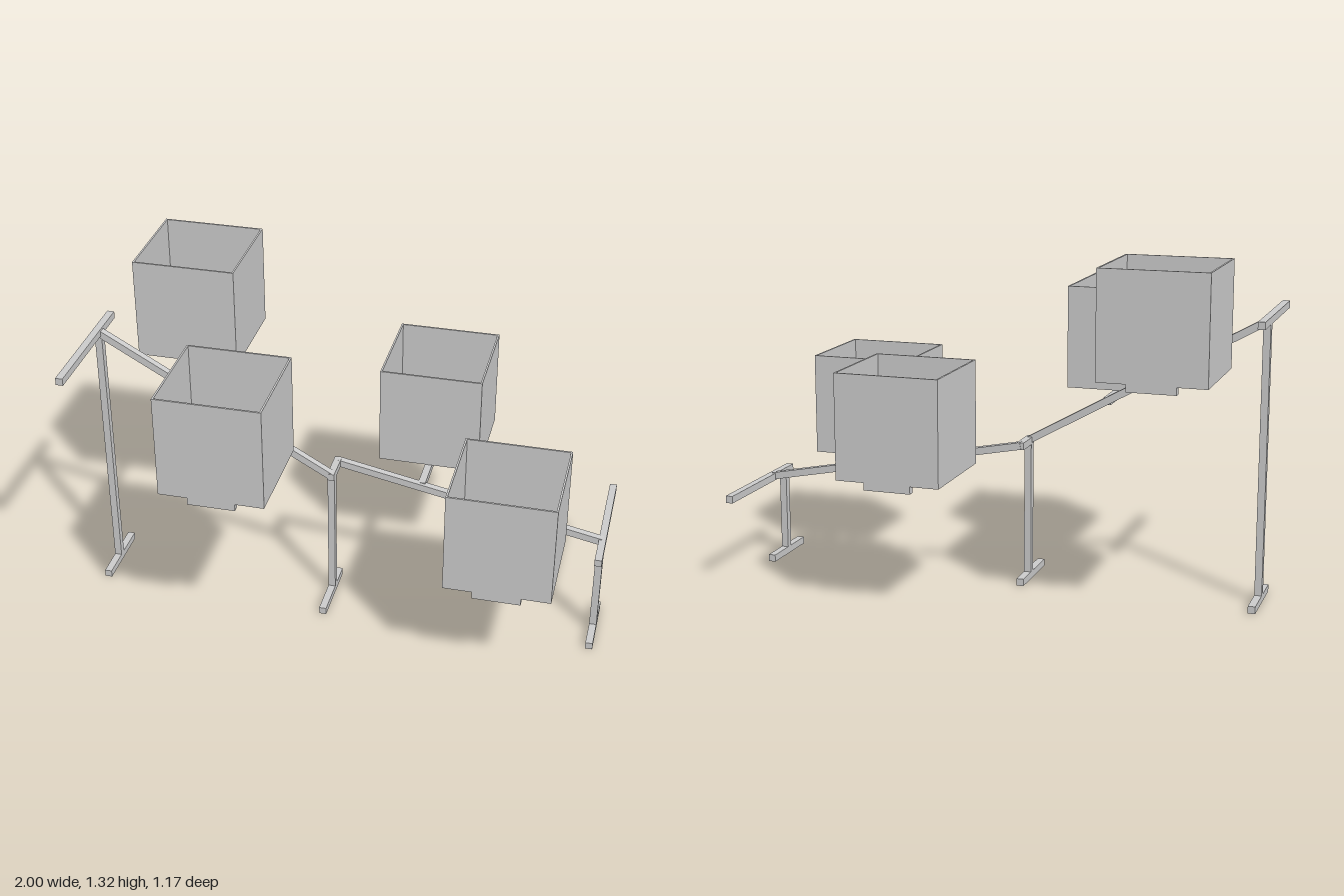
import * as THREE from 'three';

const material = new THREE.MeshStandardMaterial({ color: 0xcccccc, flatShading: true });
const T = 0.028; // thickness of every square rail

function addMesh(parent, name, geometry, x, y, z) {
  const mesh = new THREE.Mesh(geometry, material);
  mesh.name = name;
  mesh.position.set(x, y, z);
  parent.add(mesh);
  return mesh;
}

// Box given by its lower and upper limits on each axis
function block(parent, name, [x0, x1], [y0, y1], [z0, z1]) {
  const geometry = new THREE.BoxGeometry(x1 - x0, y1 - y0, z1 - z0);
  return addMesh(parent, name, geometry, (x0 + x1) / 2, (y0 + y1) / 2, (z0 + z1) / 2);
}

const around = (c, size = T) => [c - size / 2, c + size / 2];

// Sloping rail between two points in the xy plane
function beam(parent, name, [xa, ya], [xb, yb], z) {
  const length = Math.hypot(xb - xa, yb - ya);
  const mesh = addMesh(parent, name, new THREE.BoxGeometry(length, T, T), (xa + xb) / 2, (ya + yb) / 2, z);
  mesh.rotation.z = Math.atan2(yb - ya, xb - xa);
}

// Open-topped cube with thin walls, standing on its floor
function openBox(parent, x, y, z, size = 0.4, wall = 0.007) {
  const square = (Kind, h) => new Kind([
    new THREE.Vector2(-h, -h), new THREE.Vector2(h, -h), new THREE.Vector2(h, h), new THREE.Vector2(-h, h),
  ].map((p) => p));
  const outline = square(THREE.Shape, size / 2);
  outline.holes.push(square(THREE.Path, size / 2 - wall));
  const walls = new THREE.ExtrudeGeometry(outline, { depth: size, bevelEnabled: false });
  walls.rotateX(-Math.PI / 2);
  addMesh(parent, 'boxWalls', walls, x, y, z);
  const inner = size - 2 * wall;
  block(parent, 'boxFloor', around(x, inner), [y, y + wall], around(z, inner));
}

export function createModel() {
  const model = new THREE.Group();
  model.name = 'steppedPlanterStand';

  // Posts with a foot and a cross rail on top
  const postZ = 0.04;
  const supports = [
    { x: -0.985, top: 1.093, foot: [-0.105, 0.172], rail: [-0.09, 0.445] },
    { x: -0.07, top: 0.573, foot: [-0.07, 0.205], rail: [-0.068, 0.063] },
    { x: 0.985, top: 0.366, foot: [-0.095, 0.175], rail: [-0.44, 0.094] },
  ];
  for (const { x, top, foot, rail } of supports) {
    const support = new THREE.Group();
    support.name = 'support';
    block(support, 'foot', around(x), [0, T], foot);
    block(support, 'post', around(x), [T, top - T], around(postZ));
    block(support, 'crossRail', around(x), [top - T, top], rail);
    model.add(support);
  }

  // Sloping beams joining the supports
  const beam1Z = 0.047, beam2Z = -0.056;
  beam(model, 'upperBeam', [-0.985, 1.076], [-0.07, 0.56], beam1Z);
  beam(model, 'lowerBeam', [-0.07, 0.56], [0.985, 0.353], beam2Z);

  // Boxes carried on T-shaped arms, alternating back and front
  const carriers = [
    { x: -0.68, y: 0.917, z: -0.287, from: beam1Z },
    { x: -0.38, y: 0.747, z: 0.387, from: beam1Z },
    { x: 0.267, y: 0.51, z: -0.388, from: beam2Z },
    { x: 0.655, y: 0.43, z: 0.283, from: beam2Z },
  ];
  for (const { x, y, z, from } of carriers) {
    const carrier = new THREE.Group();
    carrier.name = 'carrier';
    const side = Math.sign(z);
    const end = z + side * 0.2;
    const barInner = end - side * T;
    block(carrier, 'arm', around(x), [y - T, y], [Math.min(from, barInner), Math.max(from, barInner)]);
    block(carrier, 'armEndBar', around(x, 0.18), [y - T, y], [Math.min(end, barInner), Math.max(end, barInner)]);
    openBox(carrier, x, y, z);
    model.add(carrier);
  }
  return model;
}
